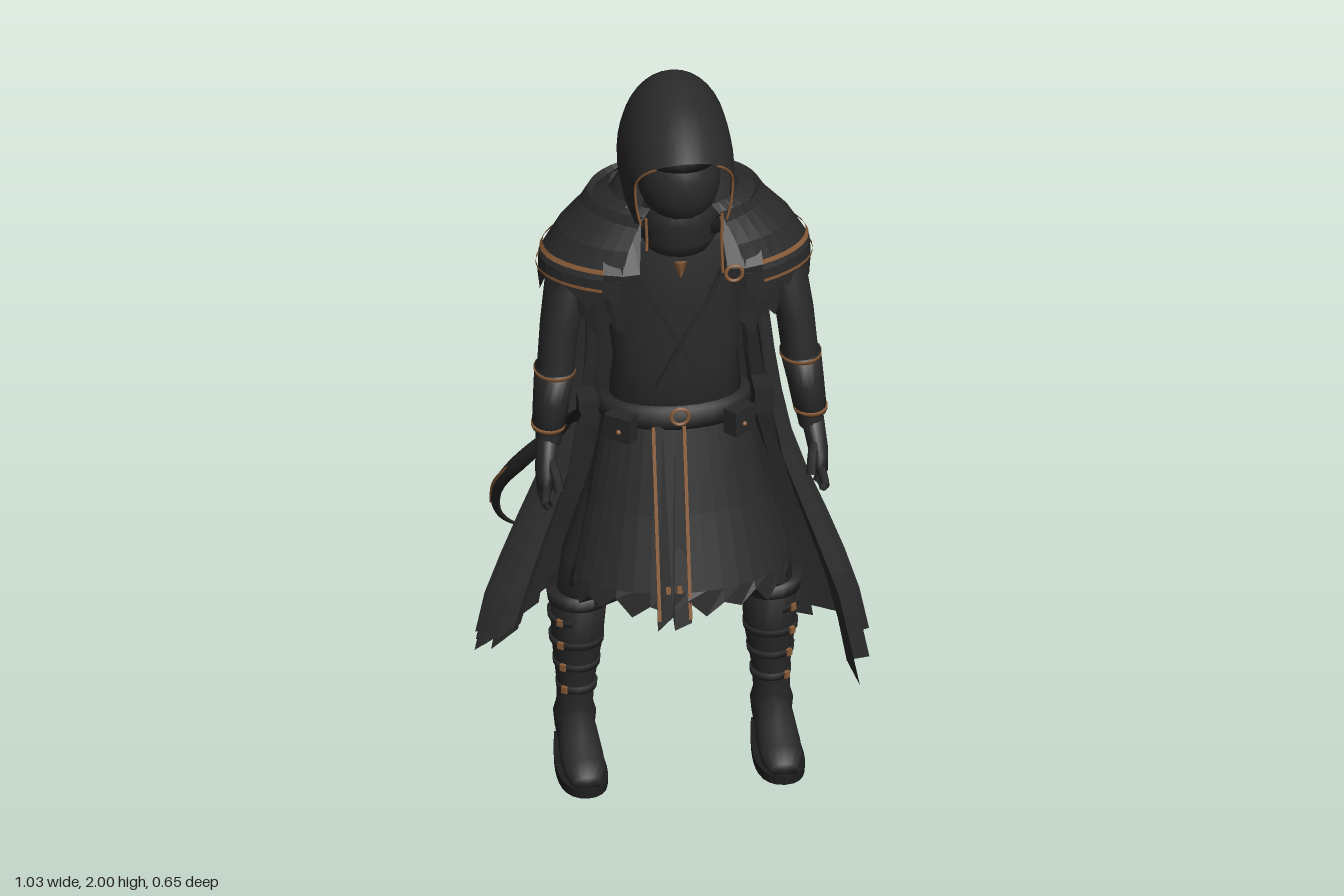
import * as THREE from 'three';

const mat = (name, color) => new THREE.MeshStandardMaterial({ name, color, side: THREE.DoubleSide });
const cloth = mat('charcoal cloth', 0x2a2a2a);
const leather = mat('dark leather', 0x272727);
const black = mat('black', 0x1d1d1d);
const copper = mat('copper trim', 0x8a5c38);
const rad = THREE.MathUtils.degToRad, lerp = THREE.MathUtils.lerp;

export function createModel() {
  const model = new THREE.Group();
  model.name = 'hoodedWanderer';

  const add = (name, geo, material, parent = model) => {
    const m = new THREE.Mesh(geo, material);
    m.name = name;
    parent.add(m);
    return m;
  };

  // Skin between rows of points; closed rows wrap round and are capped
  const loft = (rows, closed = true, flat = false) => {
    const n = rows[0].length, pos = rows.flat(2), idx = [];
    const cols = closed ? n : n - 1;
    for (let i = 0; i < rows.length - 1; i++) for (let j = 0; j < cols; j++) {
      const a = i * n + j, b = i * n + (j + 1) % n;
      idx.push(a, b, b + n, a, b + n, a + n);
    }
    if (closed) [0, rows.length - 1].forEach((r) => {
      const c = pos.length / 3;
      pos.push(...[0, 1, 2].map((k) => rows[r].reduce((s, p) => s + p[k], 0) / n));
      for (let j = 0; j < n; j++) {
        const a = r * n + j, b = r * n + (j + 1) % n;
        idx.push(...(r ? [a, b, c] : [b, a, c]));
      }
    });
    let g = new THREE.BufferGeometry();
    g.setAttribute('position', new THREE.Float32BufferAttribute(pos, 3));
    g.setIndex(idx);
    if (flat) g = g.toNonIndexed();
    g.computeVertexNormals();
    return g;
  };
  // Horizontal ellipse: angle 0 faces front, 90 faces +x
  const at = (y, cx, cz, rx, rz, deg) => [cx + rx * Math.sin(rad(deg)), y, cz + rz * Math.cos(rad(deg))];
  const ring = ([y, cx, cz, rx, rz], n = 20) => Array.from({ length: n }, (_, j) => at(y, cx, cz, rx, rz, j * 360 / n));
  const body = (rows, n) => loft(rows.map((r) => ring(r, n)));
  const bar = (name, a, b, w, d, material, parent) => {
    const A = new THREE.Vector3(...a), B = new THREE.Vector3(...b);
    const m = add(name, new THREE.BoxGeometry(w, d, A.distanceTo(B)), material, parent);
    m.position.copy(A).lerp(B, 0.5);
    m.lookAt(B);
    return m;
  };
  const tube = (pts, r, seg = 16, sides = 6) =>
    new THREE.TubeGeometry(new THREE.CatmullRomCurve3(pts.map((p) => new THREE.Vector3(...p))), seg, r, sides);
  const torus = (name, r, t, p, material, parent) => {
    const m = add(name, new THREE.TorusGeometry(r, t, 6, 18), material, parent);
    m.position.set(...p);
    return m;
  };

  // Torso and crossed chest straps
  add('torso', body([[1.02, 0, .085, .18, .1], [1.2, 0, .08, .162, .105], [1.4, 0, .07, .19, .12],
    [1.55, 0, .06, .2, .11], [1.66, 0, .06, .12, .09]]), cloth);
  for (const s of [-1, 1]) {
    bar('chestStrap', [s * .13, 1.5, .165], [0, 1.27, .187], .014, .014, leather);
    bar('chestStrap', [0, 1.27, .187], [-s * .06, 1.14, .181], .014, .014, leather);
  }

  // Skirt with a torn hem
  const skirt = [[1.04, 0, .09, .19, .11], [.8, 0, .11, .235, .15], [.6, 0, .14, .28, .175]].map((r) => ring(r, 36));
  skirt.push(skirt[2].map(([x, y, z], j) => [x * 1.02, [.58, .53, .565, .545][j % 4], z * 1.03]));
  skirt.reverse();
  add('skirt', loft(skirt, true, true), cloth);
  add('frontPanel', loft([[[-.08, .5, .332], [-.04, .54, .332], [-.035, .5, .332], [.01, .52, .332]],
    [[-.075, 1.04, .204], [-.05, 1.04, .206], [-.02, 1.04, .207], [.01, 1.04, .207]]], false, true), cloth);
  for (const x of [-.075, .006]) bar('panelTrim', [x, 1.04, .209], [x, .53, .33], .009, .008, copper);
  for (const [x, y] of [[-.05, .6], [-.02, .6], [-.035, .56]]) bar('panelStud', [x, y, .313], [x, y + .02, .31], .012, .01, copper);

  // Belt, buckle and pouches
  add('belt', body([[1.03, 0, .088, .2, .124], [1.085, 0, .088, .195, .12]], 28), leather);
  torus('buckle', .023, .005, [-.005, 1.07, .214], copper);
  for (const s of [-1, 1]) {
    const p = add('pouch', new THREE.BoxGeometry(.075, .07, .045), leather);
    p.position.set(s * .155, 1.035, .18);
    p.rotation.y = s * .7;
    const h = add('hipPouch', new THREE.BoxGeometry(.05, .07, .08), leather);
    h.position.set(s * .23, 1.04, .07);
    const b = add('pouchStud', new THREE.SphereGeometry(.007, 8, 6), copper);
    b.position.set(s * .165, 1.03, .203);
  }

  // Legs and boots, arms and hands
  for (const s of [-1, 1]) {
    const leg = new THREE.Group();
    leg.name = s > 0 ? 'leftLeg' : 'rightLeg';
    model.add(leg);
    add('thigh', body([[.48, s * .24, .07, .07, .075], [.62, s * .21, .09, .088, .09], [.92, s * .11, .085, .09, .09]]), cloth, leg);
    add('boot', body([[.08, s * .258, .045, .052, .06], [.12, s * .258, .045, .056, .064], [.15, s * .258, .045, .048, .055],
      [.22, s * .256, .045, .05, .056], [.35, s * .252, .05, .068, .072], [.48, s * .25, .062, .075, .078]]), leather, leg);
    add('bootCuff', body([[.465, s * .25, .062, .08, .084], [.505, s * .25, .066, .086, .088]]), leather, leg);
    for (const [y, r] of [[.2, .053], [.27, .061], [.34, .071], [.41, .075]]) {
      add('bootStrap', body([[y, s * .254, .05, r, r + .004], [y + .018, s * .254, .05, r + .002, r + .006]]), leather, leg);
      const d = s > 0 ? 42 : -42;
      const stud = add('bootStud', new THREE.BoxGeometry(.016, .018, .01), copper, leg);
      stud.position.set(...at(y + .01, s * .254, .05, r + .002, r + .006, d));
      stud.rotation.y = rad(d);
    }
    // Shoe sections run heel to toe
    add('shoe', body([[-.015, 0, -.06, .04, .045], [.03, 0, -.075, .05, .065], [.1, 0, -.08, .052, .068],
      [.17, 0, -.06, .057, .05], [.24, 0, -.046, .055, .036], [.29, 0, -.036, .035, .02]], 16)
      .rotateX(Math.PI / 2).translate(s * .258, 0, 0), leather, leg);
    const sole = new THREE.Shape();
    sole.moveTo(-.045, -.02);
    sole.lineTo(.045, -.02);
    sole.bezierCurveTo(.06, .08, .1, .3, 0, .302);
    sole.bezierCurveTo(-.1, .3, -.06, .08, -.045, -.02);
    add('sole', new THREE.ExtrudeGeometry(sole, { depth: .024, bevelEnabled: false })
      .rotateX(Math.PI / 2).translate(s * .258, .024, 0), black, leg);

    const arm = new THREE.Group();
    arm.name = s > 0 ? 'leftArm' : 'rightArm';
    model.add(arm);
    add('sleeve', body([[1.0, s * .345, .17, .033, .042], [1.2, s * .32, .13, .048, .063],
      [1.32, s * .308, .115, .05, .068], [1.48, s * .27, .08, .065, .085], [1.58, s * .23, .06, .05, .06]]), cloth, arm);
    add('bracer', body([[1.04, s * .343, .162, .043, .055], [1.12, s * .333, .147, .048, .06], [1.2, s * .321, .13, .054, .068]]), leather, arm);
    for (const [y, x, z, a, b] of [[1.045, .343, .162, .045, .057], [1.19, .322, .131, .055, .069]])
      add('bracerTrim', body([[y, s * x, z, a, b], [y + .009, s * x, z, a, b]]), copper, arm);
    add('palm', body([[.895, s * .36, .215, .022, .045], [.94, s * .358, .205, .026, .048], [1.02, s * .347, .172, .03, .038]], 12), leather, arm);
    for (let i = 0; i < 4; i++)
      add('finger', tube([[s * .36, .91, .178 + i * .024], [s * .366, .87, .186 + i * .029], [s * .358, .838 + i * .012, .188 + i * .033]], .0115), leather, arm);
    add('thumb', tube([[s * .348, .975, .215], [s * .335, .94, .255], [s * .33, .905, .275]], .013), leather, arm);
  }

  // Cloak: long tattered panels [top angles], [bottom angles], [hem heights]
  const profile = [[1.5, .27, .12], [1.25, .255, .095], [1.05, .28, .13], [.85, .32, .185], [.65, .4, .235], [.45, .475, .29], [.18, .53, .335]];
  const cloakSize = (y) => {
    let i = 0;
    while (i < 5 && y < profile[i + 1][0]) i++;
    const [a, b] = [profile[i], profile[i + 1]], k = (y - a[0]) / (b[0] - a[0]);
    return [lerp(a[1], b[1], k), lerp(a[2], b[2], k)];
  };
  const panels = [[[60, 104], [62, 100], [.2, .33]], [[104, 148], [109, 142], [.28, .16]], [[148, 180], [153, 175], [.24, .33]],
    [[180, 207], [184, 204], [.35, .22]], [[207, 240], [209, 235], [.36, .18]], [[240, 270], [244, 267], [.22, .36]], [[270, 300], [272, 298], [.3, .42]]];
  panels.forEach(([top, bot, hem], p) => {
    const rows = [];
    for (let i = 10; i >= 0; i--) {
      const t = i / 10, row = [];
      for (let j = 0; j <= 6; j++) {
        const u = j / 6, end = lerp(hem[0], hem[1], u) + (j % 2 ? .04 : 0) * (p % 2 ? 1 : .7);
        const y = lerp(1.5, end, t), [rx, rz] = cloakSize(y);
        const fold = 1 + (j % 2 ? -.07 : .02) * Math.min(1, t * 1.6);
        const deg = lerp(lerp(top[0], top[1], u), lerp(bot[0], bot[1], u), t * t);
        row.push(at(y, 0, 0, rx * fold, rz * fold, deg));
      }
      rows.push(row);
    }
    add('cloakPanel', loft(rows, false, true), cloth);
  });

  // Shoulder mantle: two open layers with torn edges
  const arc = (y, rx, rz, cz, jag = () => 0, a0 = 28, a1 = 332) => {
    const n = Math.round((a1 - a0) / 8);
    return Array.from({ length: n + 1 }, (_, j) => at(y + jag(j), 0, cz, rx, rz, a0 + (a1 - a0) * j / n));
  };
  const tear = (j) => [0, -.035, .012, -.015, .02][j % 5];
  add('mantleLower', loft([arc(1.39, .315, .195, .065, (j) => tear(j) * 1.4 - (j < 5 || j > 33 ? .03 : 0)), arc(1.52, .335, .2, .065)], false, true), cloth);
  add('mantleUpper', loft([arc(1.445, .357, .208, .065, tear), arc(1.5, .355, .206, .065), arc(1.58, .305, .19, .062),
    arc(1.64, .245, .17, .06), arc(1.685, .17, .15, .06)], false, true), cloth);
  add('mantleCollar', loft([arc(1.63, .25, .178, .055), arc(1.67, .225, .172, .055), arc(1.64, .19, .15, .055)], false, true), cloth);
  for (const [a0, a1] of [[36, 132], [228, 324]]) {
    add('mantleTrim', loft([arc(1.518, .352, .208, .065, undefined, a0, a1), arc(1.53, .344, .206, .065, undefined, a0, a1)], false), copper);
    add('mantleTrim', loft([arc(1.468, .362, .213, .065, undefined, a0, a1), arc(1.477, .362, .213, .065, undefined, a0, a1)], false), copper);
  }
  // Hanging lapels
  for (const s of [-1, 1]) add('lapel', loft([[[s * .14, 1.38, .225], [s * .17, 1.34, .225], [s * .2, 1.39, .215]],
    [[s * .115, 1.52, .245], [s * .16, 1.52, .25], [s * .21, 1.52, .235]],
    [[s * .1, 1.67, .17], [s * .14, 1.68, .16], [s * .2, 1.66, .13]]], false, true), cloth);

  // Neck drape and scarf folds
  add('neckDrape', body([[1.6, 0, .055, .23, .155], [1.68, 0, .06, .165, .125], [1.78, 0, .07, .115, .1]]), cloth);
  add('scarf', body([[1.55, 0, .13, .085, .09], [1.59, 0, .135, .105, .105], [1.625, 0, .135, .095, .1],
    [1.65, 0, .135, .108, .11], [1.69, 0, .13, .1, .105], [1.72, 0, .13, .08, .09]], 16), cloth);
  const pendant = add('pendant', new THREE.CylinderGeometry(.022, .004, .045, 3), copper);
  pendant.position.set(0, 1.495, .19);
  pendant.scale.z = .4;
  torus('claspRing', .022, .005, [.13, 1.515, .262], copper);

  // Masked face with a visor
  add('mask', new THREE.SphereGeometry(1, 24, 16).scale(.11, .14, .125).translate(0, 1.765, .145), cloth);
  add('visor', body([[1.825, 0, .145, .108, .122], [1.868, 0, .145, .1, .118]], 24), black);

  // Hood: arches from brim to crown to nape
  const arch = ([w, T, B, zs, zt]) => Array.from({ length: 25 }, (_, j) => {
    const th = rad(lerp(-118, 118, j / 24)), c = Math.cos(th);
    return [w * Math.sin(th), 1.78 + c * (c > 0 ? T - 1.78 : (1.78 - B) / .47), lerp(zs, zt, Math.max(0, c) ** 1.5)];
  });
  const hood = [[.128, 1.885, 1.67, .245, .325], [.14, 1.935, 1.65, .2, .25], [.146, 1.968, 1.64, .14, .17], [.148, 1.988, 1.64, .08, .09],
    [.146, 2, 1.64, .03, .025], [.134, 1.975, 1.645, -.015, -.018], [.1, 1.925, 1.66, -.04, -.042], [.055, 1.86, 1.7, -.052, -.053], [.004, 1.785, 1.775, -.056, -.056]].map(arch);
  add('hood', loft(hood, false), cloth);
  for (const s of [-1, 1]) {
    const edge = hood[0].filter((p) => p[0] * s > .08).map(([x, y, z]) => [x, y, z + .003]);
    add('hoodTrim', tube(edge, .0035, 24, 5), copper);
    add('hoodCord', tube([[s * .1, 1.69, .25], [s * .098, 1.62, .255], [s * .1, s > 0 ? 1.52 : 1.6, .262]], .004), copper);
  }

  // Curved scabbard at the right hip, tapering to its tip
  const path = new THREE.CatmullRomCurve3([[-.3, 1.06, .17], [-.33, .98, .11], [-.39, .88, .04], [-.44, .75, -.06], [-.435, .63, -.15], [-.39, .54, -.23], [-.31, .48, -.285]]
    .map((p) => new THREE.Vector3(...p)));
  const blade = new THREE.TubeGeometry(path, 40, .021, 8), bp = blade.attributes.position, v = new THREE.Vector3();
  for (let i = 0; i < bp.count; i++) {
    const t = Math.floor(i / 9) / 40;
    v.fromBufferAttribute(bp, i).lerp(path.getPointAt(t), Math.max(0, t - .35) * 1.5);
    bp.setXYZ(i, v.x, v.y, v.z);
  }
  blade.computeVertexNormals();
  add('scabbard', blade, leather);
  add('scabbardTrim', tube([[-.35, .965, .095], [-.405, .88, .04], [-.455, .76, -.055], [-.452, .66, -.13]], .005), copper);
  add('swordGrip', tube([[-.3, 1.06, .17], [-.285, 1.09, .21], [-.28, 1.11, .235]], .014), black);

  return model;
}
